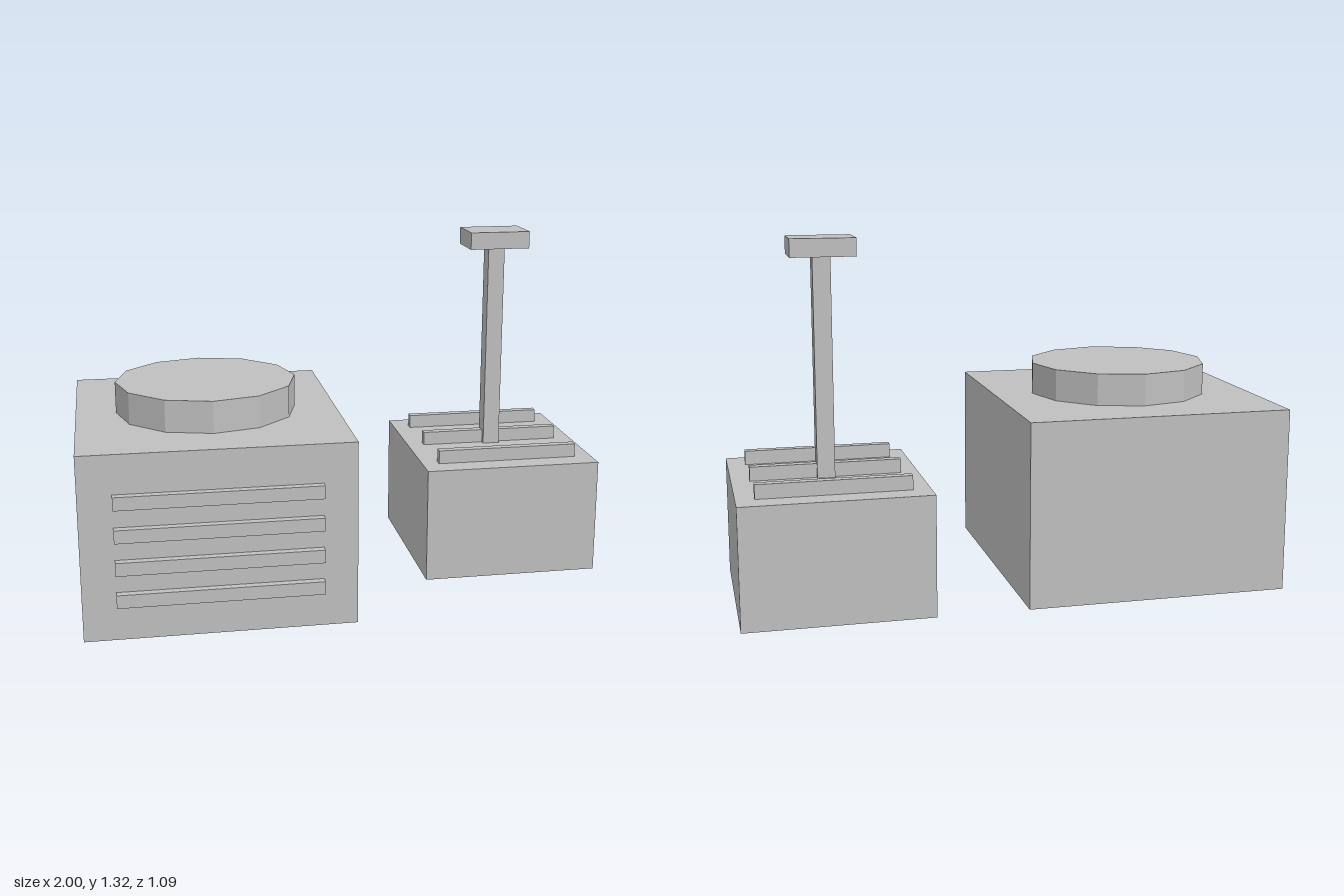
import * as THREE from 'three';

export function createModel() {
  const model = new THREE.Group();
  const grey = new THREE.MeshStandardMaterial({ color: 0xbfbfbf });
  grey.name = 'light grey';

  // Box from its min and max extents on each axis
  const box = (name, parent, [x0, x1], [y0, y1], [z0, z1]) => {
    const mesh = new THREE.Mesh(new THREE.BoxGeometry(x1 - x0, y1 - y0, z1 - z0), grey);
    mesh.position.set((x0 + x1) / 2, (y0 + y1) / 2, (z0 + z1) / 2);
    mesh.name = name;
    parent.add(mesh);
  };

  // Large unit with a round fan housing and front louvres
  const fanUnit = new THREE.Group();
  fanUnit.name = 'fanUnit';
  box('fanUnitBody', fanUnit, [-1, -0.02], [0, 0.684], [-0.547, 0.517]);
  const fanGeometry = new THREE.CylinderGeometry(0.34, 0.34, 0.119, 12).toNonIndexed();
  fanGeometry.computeVertexNormals();
  const fan = new THREE.Mesh(fanGeometry, grey);
  fan.position.set(-0.51, 0.7435, -0.015);
  fan.name = 'fanHousing';
  fanUnit.add(fan);
  for (let i = 0; i < 4; i++) {
    const y = 0.155 + i * 0.12;
    box('louvre', fanUnit, [-0.88, -0.143], [y - 0.0245, y + 0.0245], [0.517, 0.547]);
  }

  // Small unit with top ribs and a capped vent post
  const ventUnit = new THREE.Group();
  ventUnit.name = 'ventUnit';
  box('ventUnitBody', ventUnit, [0.317, 1], [0, 0.445], [-0.547, 0.175]);
  for (const z of [-0.442, -0.187, 0.07]) {
    box('topRib', ventUnit, [0.382, 0.933], [0.445, 0.497], [z - 0.016, z + 0.016]);
  }
  box('ventPost', ventUnit, [0.626, 0.691], [0.445, 1.25], [-0.217, -0.151]);
  box('ventCap', ventUnit, [0.54, 0.775], [1.25, 1.316], [-0.27, -0.101]);

  model.add(fanUnit, ventUnit);
  return model;
}
